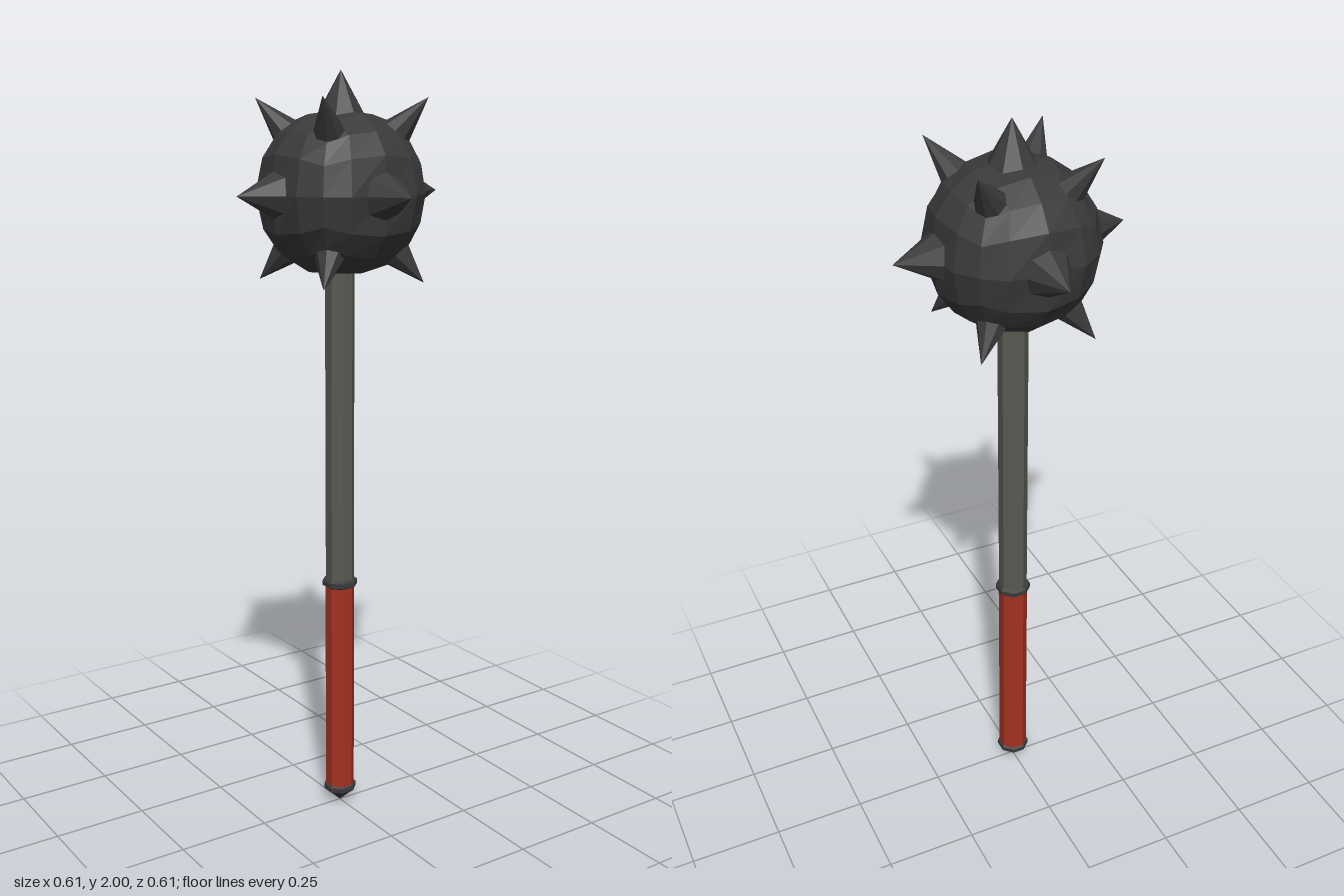
import * as THREE from 'three';

export function createModel() {
  const root = new THREE.Group();
  root.name = 'spikedMace';

  const paint = (color) => new THREE.MeshStandardMaterial({ color, flatShading: true });
  const iron = paint(0x3a3a3a), steel = paint(0x5a5a53), red = paint(0xa53122);

  const add = (parent, name, geometry, material) => {
    const mesh = new THREE.Mesh(geometry, material);
    mesh.name = name;
    parent.add(mesh);
    return mesh;
  };

  // Eight-sided shaft pieces turned from short profiles of [radius, y]
  const turned = (name, points, material) =>
    add(root, name, new THREE.LatheGeometry(points.map(([r, y]) => new THREE.Vector2(r, y)), 8), material)
      .rotation.y = Math.PI / 8;
  turned('pommel', [[0, 0], [0.036, 0.033], [0.045, 0.039], [0.045, 0.052], [0.037, 0.057], [0, 0.057]], iron);
  turned('grip', [[0.04, 0.05], [0.04, 0.65]], red);
  turned('collar', [[0.038, 0.641], [0.048, 0.647], [0.048, 0.66], [0.038, 0.666]], iron);
  turned('shaft', [[0.039, 0.65], [0.039, 1.54]], steel);

  // Head: a cube rounded into a sphere, slightly flattened on its six sides
  const head = new THREE.Group();
  head.name = 'head';
  head.position.set(0.003, 1.697, 0);
  root.add(head);
  const ball = new THREE.BoxGeometry(1, 1, 1, 4, 4, 4);
  const p = ball.attributes.position;
  const v = new THREE.Vector3();
  for (let i = 0; i < p.count; i++) {
    v.fromBufferAttribute(p, i).setLength(0.218).clampScalar(-0.206, 0.206);
    p.setXYZ(i, v.x, v.y, v.z);
  }
  ball.computeVertexNormals();
  add(head, 'ball', ball, iron);

  // Spikes: cones sunk into the ball, each aimed at its tip
  const up = new THREE.Vector3(0, 1, 0);
  const spike = (name, x, y, z, radius) => {
    const tip = new THREE.Vector3(x, y, z);
    const sunk = 0.18, length = tip.length() - sunk;
    const cone = new THREE.ConeGeometry(radius, length, 8, 1).translate(0, sunk + length / 2, 0);
    add(head, name, cone, iron).quaternion.setFromUnitVectors(up, tip.normalize());
  };
  spike('topSpike', 0, 0.303, 0, 0.069);
  for (const s of [-1, 1]) {
    spike('sideSpike', s * 0.305, 0, 0, 0.069);
    spike('frontBackSpike', 0, 0, s * 0.303, 0.069);
    for (const t of [-1, 1]) {
      spike('upperCornerSpike', s * 0.157, 0.236, t * 0.157, 0.05);
      spike('lowerCornerSpike', s * 0.153, -0.223, t * 0.153, 0.05);
    }
  }
  return root;
}
